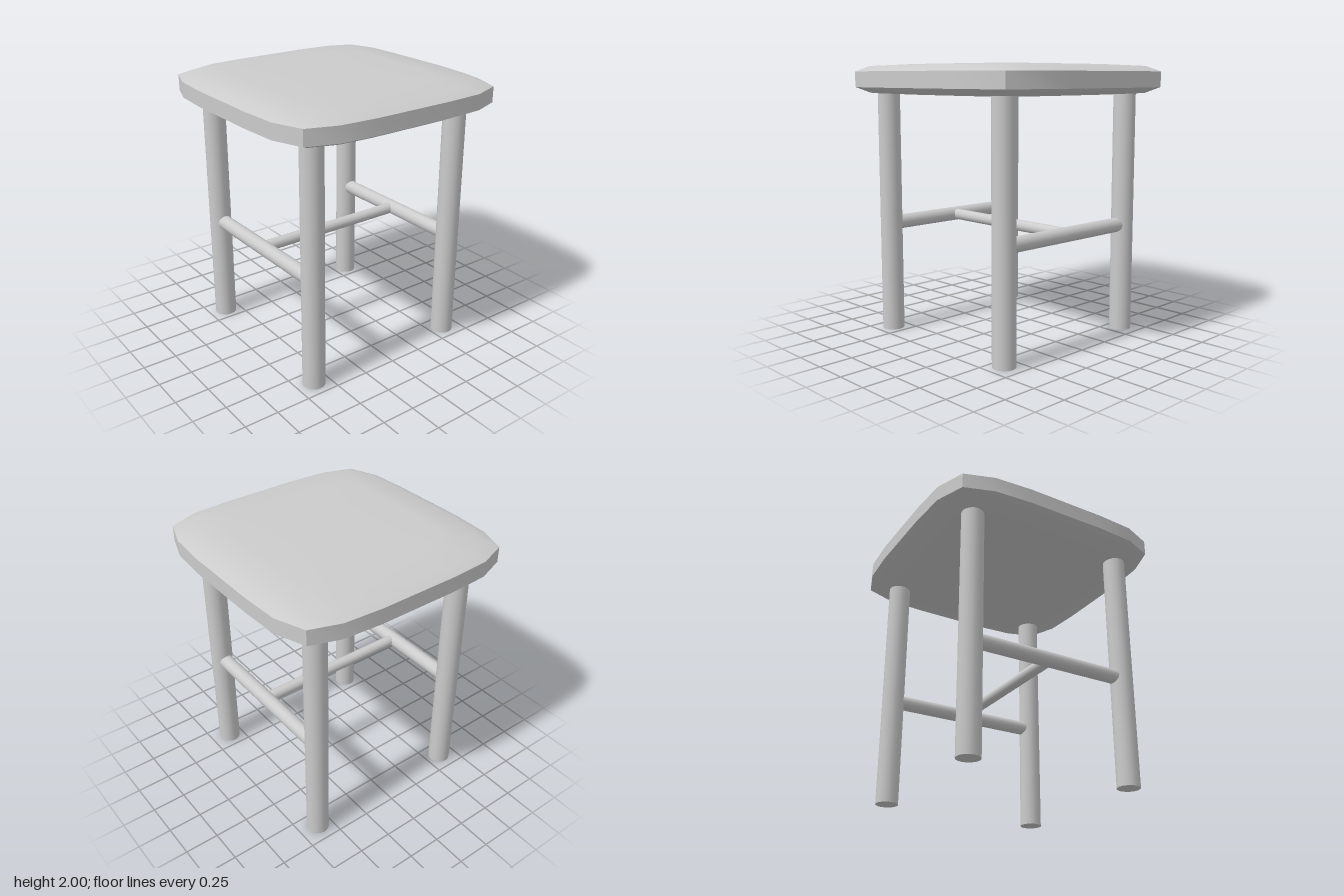
import * as THREE from 'three';
import { mergeVertices, toCreasedNormals } from 'three/addons/utils/BufferGeometryUtils.js';

const material = new THREE.MeshStandardMaterial({ color: 0xcccccc });

// Cushion: a rounded-square outline lofted through scaled rings
function seatGeometry() {
  const side = [[0.89, -0.3], [0.89, 0.3], [0.87, 0.58], [0.795, 0.795], [0.58, 0.875]];
  const outline = [];
  for (let k = 0; k < 4; k++) {
    for (const [x, z] of side) {
      const c = [1, 0, -1, 0][k], s = [0, 1, 0, -1][k];
      outline.push([x * c - z * s, x * s + z * c]);
    }
  }
  // [scale, y] from the underside centre to the top centre
  const rings = [[0, 1.77], [0.34, 1.772], [0.66, 1.777], [0.9, 1.788], [1, 1.83],
    [1, 1.943], [0.9, 1.983], [0.66, 1.995], [0.34, 2], [0, 2]];
  const n = outline.length, positions = [], index = [];
  for (const [s, y] of rings) for (const [x, z] of outline) positions.push(x * s, y, z * s);
  for (let r = 0; r < rings.length - 1; r++) {
    for (let i = 0; i < n; i++) {
      const a = r * n + i, b = r * n + (i + 1) % n, c = a + n, d = b + n;
      if (r > 0) index.push(a, d, b);
      if (r < rings.length - 2) index.push(a, c, d);
      if (r === 0) index.push(a, d, b), index.splice(-3, 3, a, c, d);
      if (r === rings.length - 2) index.splice(-3, 3, a, d, b);
    }
  }
  const geometry = new THREE.BufferGeometry();
  geometry.setAttribute('position', new THREE.Float32BufferAttribute(positions, 3));
  geometry.setIndex(index);
  return toCreasedNormals(mergeVertices(geometry), 0.6);
}

// Round bar between two points
function bar(name, from, to, radius) {
  const a = new THREE.Vector3(...from), b = new THREE.Vector3(...to);
  const mesh = new THREE.Mesh(new THREE.CylinderGeometry(radius, radius, a.distanceTo(b), 16), material);
  mesh.name = name;
  mesh.position.copy(a).lerp(b, 0.5);
  mesh.quaternion.setFromUnitVectors(new THREE.Vector3(0, 1, 0), b.sub(a).normalize());
  return mesh;
}

export function createModel() {
  const group = new THREE.Group();
  group.name = 'stool';

  const seat = new THREE.Mesh(seatGeometry(), material);
  seat.name = 'seat';
  group.add(seat);

  for (const [sideName, x] of [['Left', 0.605], ['Right', -0.617]]) {
    // Legs run up into the cushion
    for (const [endName, z] of [['front', 0.624], ['back', -0.615]]) {
      group.add(bar(`${endName}${sideName}Leg`, [x, 0, z], [x, 1.82, z], 0.082));
    }
    // Side stretcher from front leg to back leg
    group.add(bar(`side${sideName}Stretcher`, [x, 0.814, 0.62], [x, 0.808, -0.61], 0.054));
  }

  // Thin stretcher joining the two side stretchers
  group.add(bar('crossStretcher', [-0.61, 0.811, 0], [0.6, 0.811, 0], 0.042));
  return group;
}
